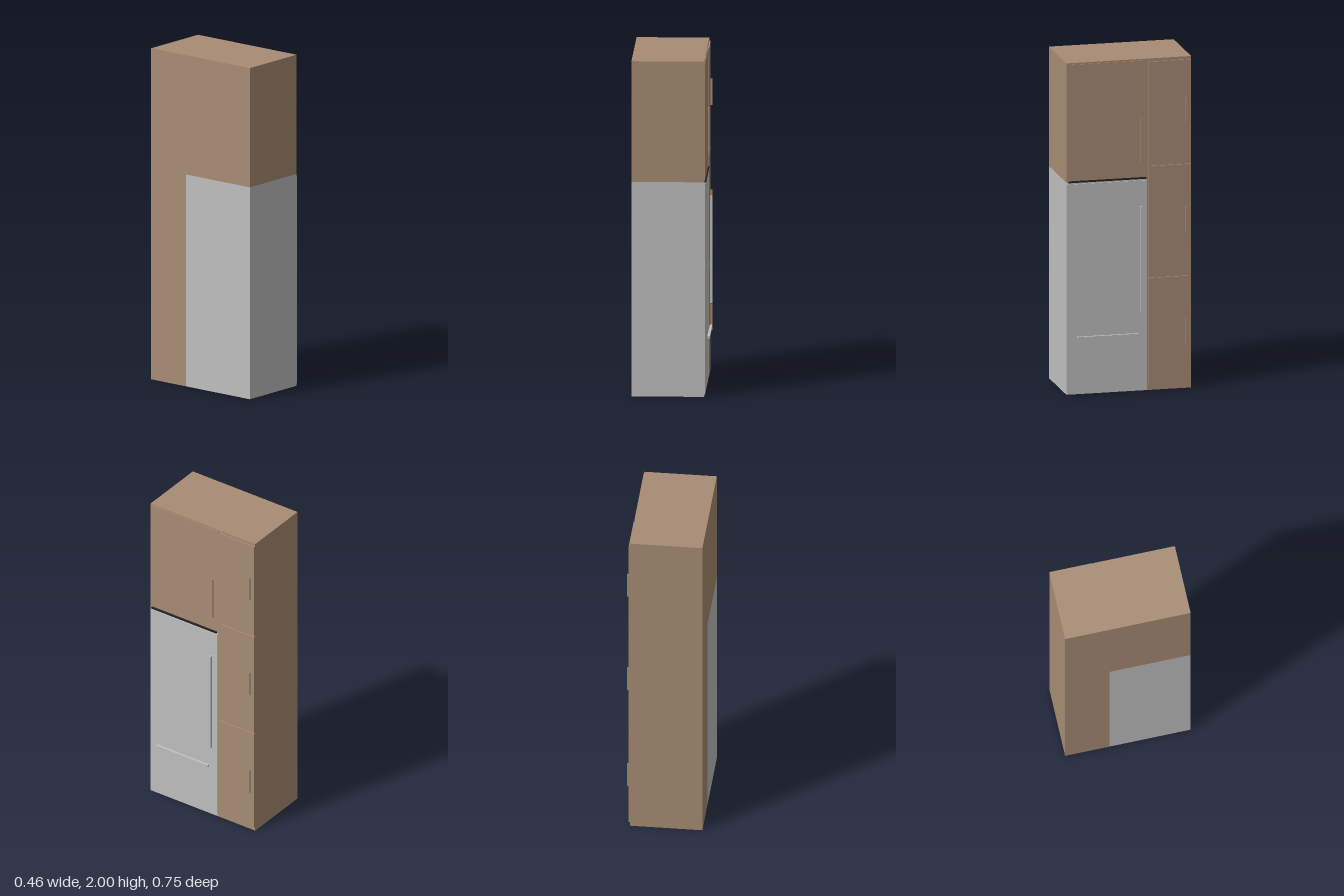
import * as THREE from 'three';

export function createModel() {
  const group = new THREE.Group();
  const material = (name, color) => {
    const m = new THREE.MeshStandardMaterial({ color });
    m.name = name;
    return m;
  };
  const wood = material('brown wood', 0xa88c74);
  const steel = material('light grey steel', 0xc0c0c0);
  const black = material('black vent', 0x222222);

  // Box given by its limits on each axis
  const box = (name, mat, [x0, x1], [y0, y1], [z0, z1]) => {
    const mesh = new THREE.Mesh(new THREE.BoxGeometry(x1 - x0, y1 - y0, z1 - z0), mat);
    mesh.position.set((x0 + x1) / 2, (y0 + y1) / 2, (z0 + z1) / 2);
    mesh.name = name;
    group.add(mesh);
    return mesh;
  };

  const back = -0.23, face = 0.197;
  const zEnd = 0.377, zSplit = -0.11;

  // Carcasses: tall cabinet, cabinet above the fridge, fridge
  box('tallCabinet', wood, [back, face], [0, 2], [-zEnd, zSplit]);
  box('upperCabinet', wood, [back, face], [1.28, 2], [zSplit, zEnd]);
  box('fridgeBody', steel, [back, face], [0, 1.28], [zSplit, zEnd]);

  // Three stacked doors with bar handles
  const edges = [0.022, 0.68, 1.355, 1.985];
  const handleY = [0.34, 1.02, 1.683];
  handleY.forEach((y, i) => {
    box('tallDoor', wood, [face, 0.205], [edges[i] + 0.003, edges[i + 1] - 0.003], [-0.375, -0.12]);
    box('tallDoorHandle', wood, [0.205, 0.217], [y - 0.078, y + 0.078], [-0.349, -0.341]);
  });

  // Door above the fridge
  box('upperDoor', wood, [face, 0.201], [1.29, 1.99], [-0.115, 0.374]);
  box('upperDoorHandle', wood, [0.201, 0.21], [1.38, 1.642], [-0.079, -0.071]);

  // Fridge door, vent strip and stand-off handles
  box('fridgeDoor', steel, [face, 0.202], [0.014, 1.268], [-0.108, 0.374]);
  box('ventStrip', black, [face, 0.208], [1.278, 1.287], [-0.103, 0.364]);
  box('fridgeHandle', steel, [0.213, 0.228], [0.478, 1.116], [-0.077, -0.063]);
  box('freezerHandle', steel, [0.213, 0.228], [0.338, 0.351], [-0.056, 0.317]);

  // Hinge pins at the top and bottom of the fridge door
  for (const y of [0.009, 1.273]) {
    const pin = new THREE.Mesh(new THREE.CylinderGeometry(0.006, 0.006, 0.01, 16), steel);
    pin.position.set(0.194, y, 0.37);
    pin.name = 'hingePin';
    group.add(pin);
  }
  return group;
}
